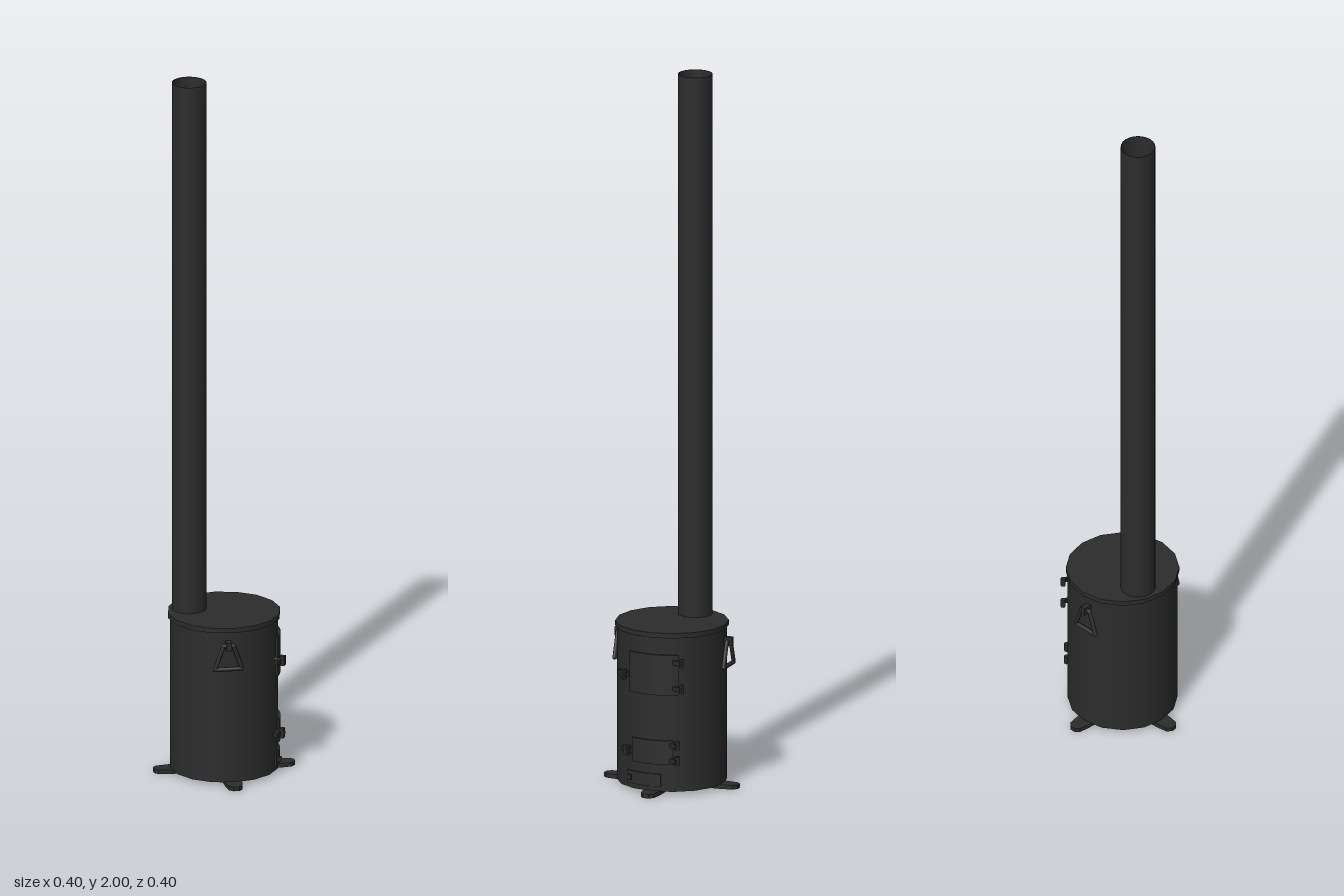
import * as THREE from 'three';

const iron = new THREE.MeshStandardMaterial({ color: 0x2c2c2c });
iron.name = 'dark iron';

function add(parent, name, geometry, x = 0, y = 0, z = 0) {
  const mesh = new THREE.Mesh(geometry, iron);
  mesh.name = name;
  mesh.position.set(x, y, z);
  parent.add(mesh);
  return mesh;
}

// Plate bent around the drum on its +x side, between two z and two y values
function bentPlate(r0, r1, z0, z1, y0, y1) {
  const a0 = Math.asin(-z1 / r1), a1 = Math.asin(-z0 / r1);
  const shape = new THREE.Shape();
  shape.absarc(0, 0, r1, a0, a1, false);
  shape.absarc(0, 0, r0, a1, a0, true);
  const g = new THREE.ExtrudeGeometry(shape, { depth: y1 - y0, bevelEnabled: false, curveSegments: 8 });
  return g.rotateX(-Math.PI / 2).translate(0, y0, 0);
}

// Door with two hinges on the -z edge and a latch on the +z edge
function door(name, z0, z1, y0, y1, latchY) {
  const g = new THREE.Group();
  g.name = name;
  add(g, 'doorPanel', bentPlate(0.142, 0.1565, z0, z1, y0, y1));
  const inset = (y1 - y0) * 0.18;
  for (const y of [y0 + inset, y1 - inset]) {
    add(g, 'hingePin', new THREE.CylinderGeometry(0.007, 0.007, 0.024, 8), 0.146, y, z0 - 0.012);
    const strap = add(g, 'hingeStrap', new THREE.BoxGeometry(0.008, 0.012, 0.034), 0.147, y, z0 + 0.003);
    strap.rotation.y = -0.45;
  }
  const bolt = add(g, 'latchBolt', new THREE.CylinderGeometry(0.007, 0.007, 0.03, 8), 0.143, latchY, z1 + 0.008);
  bolt.rotation.set(0, -0.5, Math.PI / 2);
  const bar = add(g, 'latchBar', new THREE.BoxGeometry(0.012, 0.014, 0.042), 0.138, latchY, z1 + 0.016);
  bar.rotation.y = -0.6;
  add(g, 'latchKnob', new THREE.BoxGeometry(0.014, 0.028, 0.014), 0.149, latchY, z1 + 0.012).rotation.y = -0.5;
  return g;
}

// Hanging trapezoid ring with its bracket, on the +z (1) or -z (-1) side
function handle(side) {
  const g = new THREE.Group();
  g.name = 'carryHandle';
  const pts = [[-0.038, 0.345], [0.038, 0.345], [0.014, 0.413], [-0.014, 0.413]];
  pts.forEach(([x, y], i) => {
    const a = new THREE.Vector3(x, y, 0);
    const b = new THREE.Vector3(...pts[(i + 1) % 4], 0);
    const rod = add(g, 'handleRod', new THREE.CylinderGeometry(0.006, 0.006, a.distanceTo(b), 8));
    rod.position.copy(a).lerp(b, 0.5);
    rod.quaternion.setFromUnitVectors(new THREE.Vector3(0, 1, 0), b.clone().sub(a).normalize());
    add(g, 'handleCorner', new THREE.SphereGeometry(0.006, 8, 6), x, y, 0);
  });
  add(g, 'handleBracket', new THREE.BoxGeometry(0.014, 0.024, 0.034), 0, 0.413, -side * 0.005);
  g.position.set(-0.016, 0, side * 0.162);
  return g;
}

export function createModel() {
  const model = new THREE.Group();
  model.name = 'drumStove';

  // Drum and lid
  add(model, 'drum', new THREE.CylinderGeometry(0.152, 0.152, 0.44, 16), 0, 0.23, 0);
  add(model, 'lid', new THREE.CylinderGeometry(0.157, 0.157, 0.014, 16), 0, 0.455, 0);

  // Hollow chimney pipe
  const pipe = new THREE.Shape().absarc(0, 0, 0.048, 0, Math.PI * 2, false);
  pipe.holes.push(new THREE.Path().absarc(0, 0, 0.0465, 0, Math.PI * 2, true));
  const chimneyProfile = [[0.0465, 0.46], [0.048, 0.46], [0.048, 2], [0.0465, 2], [0.0465, 0.46]];
  for (let i = 1; i < chimneyProfile.length - 1; i++) {
    const pair = [chimneyProfile[i], chimneyProfile[i + 1]].map(p => new THREE.Vector2(...p));
    add(model, ['', 'chimneyOuter', 'chimneyRim', 'chimneyInner'][i],
      new THREE.LatheGeometry(pair, 24), -0.092, 0, -0.033);
  }

  // Four flat feet with clipped tips
  const foot = new THREE.Shape([[0.1, -0.024], [0.155, -0.024], [0.187, -0.019], [0.198, -0.008],
    [0.198, 0.008], [0.187, 0.019], [0.155, 0.024], [0.1, 0.024]].map(p => new THREE.Vector2(...p)));
  for (let i = 0; i < 4; i++) {
    const g = new THREE.ExtrudeGeometry(foot, { depth: 0.012, bevelEnabled: false });
    add(model, 'foot', g.rotateX(-Math.PI / 2)).rotation.y = i * Math.PI / 2;
  }

  // Fire door, ash door and air slide
  model.add(door('fireDoor', -0.074, 0.074, 0.285, 0.4, 0.335));
  model.add(door('ashDoor', -0.06, 0.063, 0.088, 0.156, 0.12));
  add(model, 'airSlide', bentPlate(0.142, 0.155, -0.026, 0.08, 0.024, 0.06));
  add(model, 'airSlideKnob', new THREE.BoxGeometry(0.018, 0.014, 0.01), 0.14, 0.042, 0.07);

  // Carry handles
  model.add(handle(1), handle(-1));
  return model;
}
